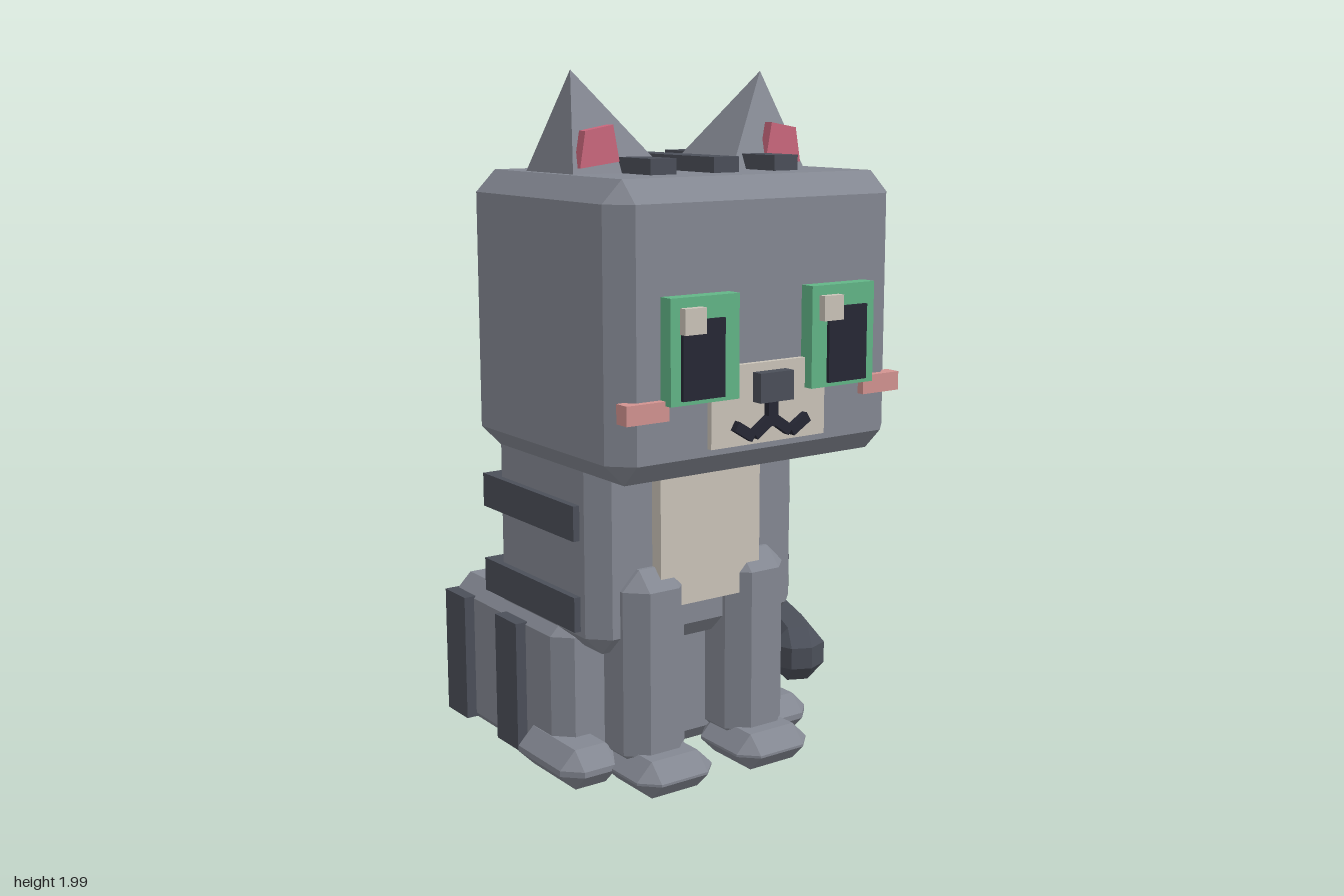
import * as THREE from 'three';
import { ConvexGeometry } from 'three/addons/geometries/ConvexGeometry.js';

const mat = (name, color) => {
  const m = new THREE.MeshStandardMaterial({ color });
  m.name = name;
  return m;
};

export function createModel() {
  const fur = mat('grey fur', 0x848892);
  const stripe = mat('dark stripe', 0x4b4f59);
  const cream = mat('cream', 0xcbc4b9);
  const green = mat('eye green', 0x62b587);
  const black = mat('pupil black', 0x262734);
  const rose = mat('inner ear rose', 0xcb687d);
  const blush = mat('cheek blush', 0xd29390);

  const model = new THREE.Group();
  model.name = 'cat';
  const MID = -0.2; // the body's own centre line
  const flip = x => 2 * MID - x;

  const add = (name, geometry, material) => {
    const mesh = new THREE.Mesh(geometry, material);
    mesh.name = name;
    model.add(mesh);
    return mesh;
  };

  // Box with every edge cut at 45 degrees, centred on its origin
  const chamferBox = (w, h, d, c) => {
    const pts = [];
    for (const sx of [-1, 1]) for (const sy of [-1, 1]) for (const sz of [-1, 1]) {
      for (let axis = 0; axis < 3; axis++) {
        const cut = [c, c, c];
        cut[axis] = 0;
        pts.push(new THREE.Vector3(sx * (w / 2 - cut[0]), sy * (h / 2 - cut[1]), sz * (d / 2 - cut[2])));
      }
    }
    return new ConvexGeometry(pts);
  };

  // Place a box by its limits; c > 0 chamfers the edges
  const block = (name, material, [x0, x1], [y0, y1], [z0, z1], c = 0) => {
    const size = [x1 - x0, y1 - y0, z1 - z0];
    const mesh = add(name, c ? chamferBox(...size, c) : new THREE.BoxGeometry(...size), material);
    mesh.position.set((x0 + x1) / 2, (y0 + y1) / 2, (z0 + z1) / 2);
    return mesh;
  };
  const pair = (name, material, [x0, x1], y, z, c) => {
    block(name + 'Right', material, [x0, x1], y, z, c);
    block(name + 'Left', material, [flip(x1), flip(x0)], y, z, c);
  };

  // Head, torso, haunches and chest
  block('head', fur, [-0.67, 0.27], [0.95, 1.73], [-0.16, 0.6], 0.06);
  block('torso', fur, [-0.56, 0.16], [0.4, 1.13], [-0.243, 0.318], 0.055);
  block('haunches', fur, [-0.588, 0.188], [0.012, 0.477], [-0.49, 0.17], 0.05);
  block('chestPatch', cream, [-0.372, -0.028], [0.53, 1.0], [0.3, 0.36]);

  // Legs and paws
  pair('frontLeg', fur, [-0.48, -0.272], [0.06, 0.645], [0.178, 0.385], 0.055);
  pair('frontPaw', fur, [-0.5, -0.245], [0.015, 0.122], [0.2, 0.475], 0.05);
  pair('hindPaw', fur, [-0.64, -0.44], [0.015, 0.132], [-0.03, 0.3], 0.05);

  // Stripes around the back, haunches and crown
  for (const y of [0.47, 0.73, 0.985]) {
    block('backStripe', stripe, [-0.58, 0.18], [y, y + 0.1], [-0.265, 0.24]);
  }
  for (const z of [-0.14, -0.45]) {
    pair('haunchStripe', stripe, [-0.62, -0.57], [0.05, 0.434], [z, z + 0.122]);
  }
  block('crownStripe', stripe, [-0.242, -0.158], [1.7, 1.772], [-0.095, 0.425]);
  pair('crownSideStripe', stripe, [-0.445, -0.363], [1.7, 1.772], [-0.095, 0.425]);

  // Ears: leaning pyramids with a rose panel in front
  for (const side of ['Right', 'Left']) {
    const at = x => (side === 'Right' ? x : flip(x));
    const corners = [[-0.59, 1.72, 0.03], [-0.59, 1.72, 0.28], [-0.303, 1.72, 0.31], [-0.303, 1.72, 0], [-0.52, 2, 0.158]];
    add('ear' + side, new ConvexGeometry(corners.map(([x, y, z]) => new THREE.Vector3(at(x), y, z))), fur);
    const panel = [[-0.57, 1.745], [-0.447, 1.76], [-0.466, 1.857], [-0.553, 1.842]];
    const pts = panel.flatMap(([x, y]) => [0.252, 0.283].map(z => new THREE.Vector3(at(x), y, z)));
    add('innerEar' + side, new ConvexGeometry(pts), rose);
  }

  // Eyes, with both highlights on the same side
  pair('iris', green, [-0.537, -0.321], [1.163, 1.438], [0.59, 0.645]);
  pair('pupil', black, [-0.505, -0.373], [1.175, 1.38], [0.6, 0.655]);
  for (const x of [-0.508, -0.055]) {
    block('eyeHighlight', cream, [x, x + 0.066], [1.345, 1.412], [0.63, 0.668]);
  }

  // Muzzle, nose, cheeks and mouth
  block('muzzle', cream, [-0.39, -0.01], [1.03, 1.245], [0.59, 0.617]);
  block('nose', stripe, [-0.255, -0.145], [1.143, 1.222], [0.6, 0.652]);
  pair('cheek', blush, [-0.655, -0.525], [1.123, 1.175], [0.575, 0.622]);
  block('mouthStem', black, [-0.216, -0.184], [1.075, 1.15], [0.6, 0.637]);
  for (const s of [-1, 1]) {
    for (const [dx, y, tilt] of [[0.032, 1.075, -0.6], [0.092, 1.07, 0.55]]) {
      const bar = add('mouthBar', new THREE.BoxGeometry(0.066, 0.028, 0.037), black);
      bar.position.set(MID + s * dx, y, 0.6185);
      bar.rotation.z = s * tilt;
    }
  }

  // Tail: three chamfered links curling forward, the last one dark
  const links = [
    ['tailBase', fur, [-0.02, -0.467], [0.366, -0.609]],
    ['tailMiddle', fur, [0.327, -0.622], [0.617, -0.333]],
    ['tailTip', stripe, [0.602, -0.362], [0.432, 0.004]],
  ];
  for (const [name, material, [ax, az], [bx, bz]] of links) {
    const link = add(name, chamferBox(0.178, 0.18, Math.hypot(bx - ax, bz - az), 0.055), material);
    link.position.set((ax + bx) / 2, 0.12, (az + bz) / 2);
    link.rotation.y = Math.atan2(bx - ax, bz - az);
  }

  return model;
}
